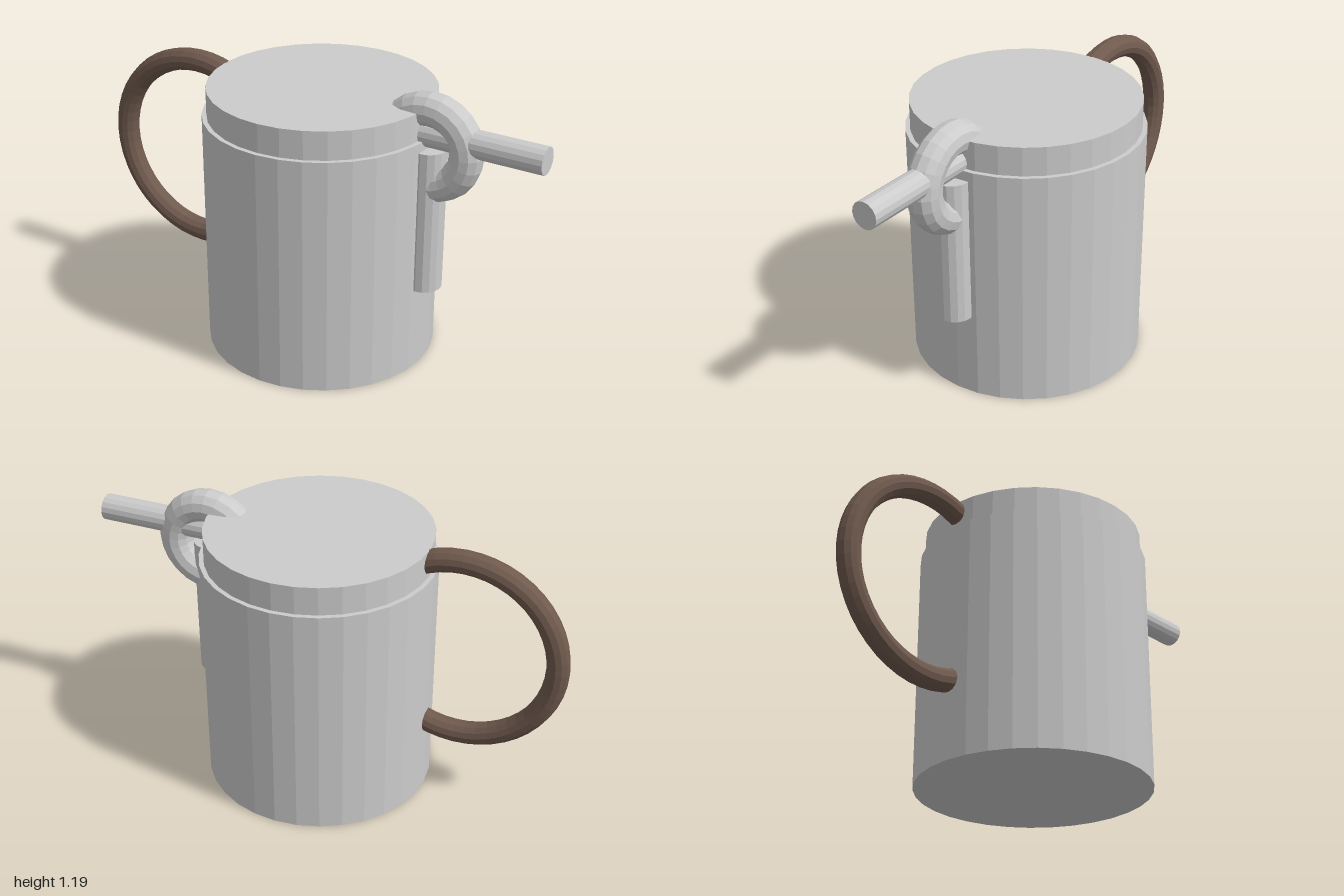
import * as THREE from 'three';

const grey = new THREE.MeshStandardMaterial({ color: 0xcccccc, flatShading: true });
const brown = new THREE.MeshStandardMaterial({ color: 0x705a4e, flatShading: true });

export function createModel() {
  const model = new THREE.Group();

  function add(name, geometry, x, y, material = grey) {
    const mesh = new THREE.Mesh(geometry, material);
    mesh.name = name;
    mesh.position.set(x, y, 0);
    model.add(mesh);
    return mesh;
  }

  // Round vessel with a slightly narrower lid
  const axisX = 0.043;
  add('body', new THREE.CylinderGeometry(0.477, 0.477, 1, 32), axisX, 0.5);
  add('lid', new THREE.CylinderGeometry(0.458, 0.458, 0.117, 32), axisX, 1.0585);

  // Carrying loop, both ends buried in the body
  add('handle', new THREE.TorusGeometry(0.396, 0.047, 12, 48), -0.556, 0.7, brown);

  // Latch: ring over the rim, upright post on the wall, bar pointing outwards
  add('latchRing', new THREE.TorusGeometry(0.156, 0.068, 12, 24), 0.523, 0.963);
  add('latchPost', new THREE.CylinderGeometry(0.073, 0.073, 0.6, 16), 0.52, 0.66);
  const bar = add('latchBar', new THREE.CylinderGeometry(0.055, 0.055, 0.6, 16), 0.7, 1.02);
  bar.rotation.z = Math.PI / 2;

  return model;
}
